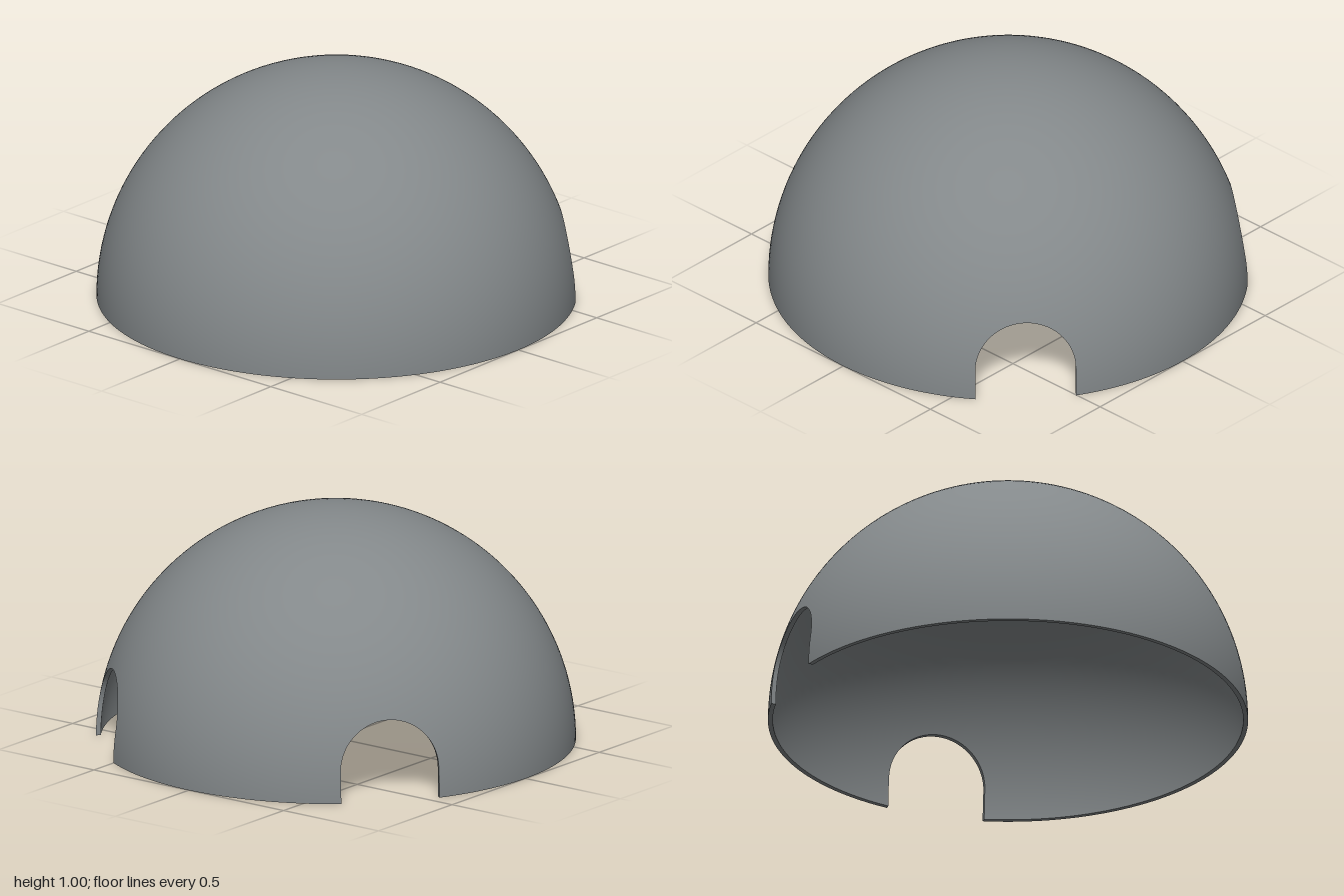
import * as THREE from 'three';
import { mergeGeometries } from 'three/addons/utils/BufferGeometryUtils.js';

const OUTER = 1, INNER = 0.98;           // shell radii
const HALF = 0.21, SPRING = 0.13;        // doorway half width and height of its straight sides
const DOORS = [47.7, 141.2].map(THREE.MathUtils.degToRad); // headings from +z towards +x
const PATCH = 0.4, TOP = 0.55;           // half angle and elevation of the patch round a doorway
const ROWS = 14, COLS = 28;
const SPAN = 2 * ROWS + COLS;            // steps along a doorway outline
const { lerp } = THREE.MathUtils;

const onSphere = (az, el, r) => new THREE.Vector3(
  r * Math.cos(el) * Math.sin(az), r * Math.sin(el), r * Math.cos(el) * Math.cos(az));

// Grid surface from fn(u, v); side 1 or -1 gives radial normals outwards or inwards, 0 computes them
function grid(nu, nv, fn, side = 0) {
  const pos = [], nor = [], index = [];
  for (let j = 0; j <= nv; j++) {
    for (let i = 0; i <= nu; i++) {
      const p = fn(i / nu, j / nv);
      pos.push(p.x, p.y, p.z);
      p.normalize().multiplyScalar(side);
      nor.push(p.x, p.y, p.z);
      if (i === nu || j === nv) continue;
      const a = j * (nu + 1) + i, b = a + 1, c = b + nu + 1, d = c - 1;
      if (side < 0) index.push(a, c, b, a, d, c);
      else index.push(a, b, c, a, c, d);
    }
  }
  const g = new THREE.BufferGeometry();
  g.setAttribute('position', new THREE.Float32BufferAttribute(pos, 3));
  g.setAttribute('normal', new THREE.Float32BufferAttribute(nor, 3));
  g.setIndex(index);
  if (!side) g.computeVertexNormals();
  return g;
}

// Doorway outline (straight sides and round arch) as azimuth and elevation on radius r
function doorOutline(s, r) {
  const arc = Math.PI * HALF, d = s * (2 * SPRING + arc);
  let x, y;
  if (d < SPRING) [x, y] = [-HALF, d];
  else if (d > SPRING + arc) [x, y] = [HALF, Math.max(0, 2 * SPRING + arc - d)];
  else {
    const a = (d - SPRING) / HALF;
    [x, y] = [-HALF * Math.cos(a), SPRING + HALF * Math.sin(a)];
  }
  return [Math.atan2(x, Math.sqrt(r * r - x * x - y * y)), Math.asin(y / r)];
}

// Outer edge of the patch: up the left side, across the top, down the right side
function patchOutline(s) {
  const k = s * SPAN;
  if (k < ROWS) return [-PATCH, TOP * k / ROWS];
  if (k > ROWS + COLS) return [PATCH, TOP * (SPAN - k) / ROWS];
  return [lerp(-PATCH, PATCH, (k - ROWS) / COLS), TOP];
}

function patchPoint(door, s, t, r) {
  const [a0, e0] = doorOutline(s, r), [a1, e1] = patchOutline(s);
  return onSphere(door + lerp(a0, a1, t), lerp(e0, e1, t), r);
}

// Plain wall stretches between the doorway patches
const WALLS = [
  { from: DOORS[0] + PATCH, to: DOORS[1] - PATCH, cols: 28 },
  { from: DOORS[1] + PATCH, to: DOORS[0] - PATCH + 2 * Math.PI, cols: 110 },
];

function shell(r, side) {
  const parts = [];
  const crown = (from, to, cols) => parts.push(grid(cols, 28,
    (u, v) => onSphere(lerp(from, to, u), lerp(TOP, Math.PI / 2, v), r), side));
  for (const { from, to, cols } of WALLS) {
    parts.push(grid(cols, ROWS, (u, v) => onSphere(lerp(from, to, u), TOP * v, r), side));
    crown(from, to, cols);
  }
  for (const door of DOORS) {
    parts.push(grid(SPAN, 10, (u, v) => patchPoint(door, u, v, r), side));
    crown(door - PATCH, door + PATCH, COLS);
  }
  return mergeGeometries(parts);
}

// Flat ring under the wall, broken at the doorways
function baseRim() {
  const radius = v => (v ? OUTER : INNER);
  const parts = WALLS.map(({ from, to, cols }) =>
    grid(cols, 1, (u, v) => onSphere(lerp(from, to, u), 0, radius(v))));
  for (const door of DOORS) {
    parts.push(grid(10, 1, (u, v) => patchPoint(door, 0, 1 - u, radius(v))));
    parts.push(grid(10, 1, (u, v) => patchPoint(door, 1, u, radius(v))));
  }
  return mergeGeometries(parts);
}

// Wall thickness seen inside a doorway
const reveal = door => grid(SPAN, 1, (u, v) => patchPoint(door, u, 0, v ? OUTER : INNER));

export function createModel() {
  const grey = new THREE.MeshStandardMaterial({ color: 0x83888a });
  grey.name = 'dome grey';
  const model = new THREE.Group();
  model.name = 'dome';
  const add = (name, geometry) => {
    const mesh = new THREE.Mesh(geometry, grey);
    mesh.name = name;
    model.add(mesh);
  };
  add('outerShell', shell(OUTER, 1));
  add('innerShell', shell(INNER, -1));
  add('baseRim', baseRim());
  add('frontDoorwayReveal', reveal(DOORS[0]));
  add('backDoorwayReveal', reveal(DOORS[1]));
  return model;
}
